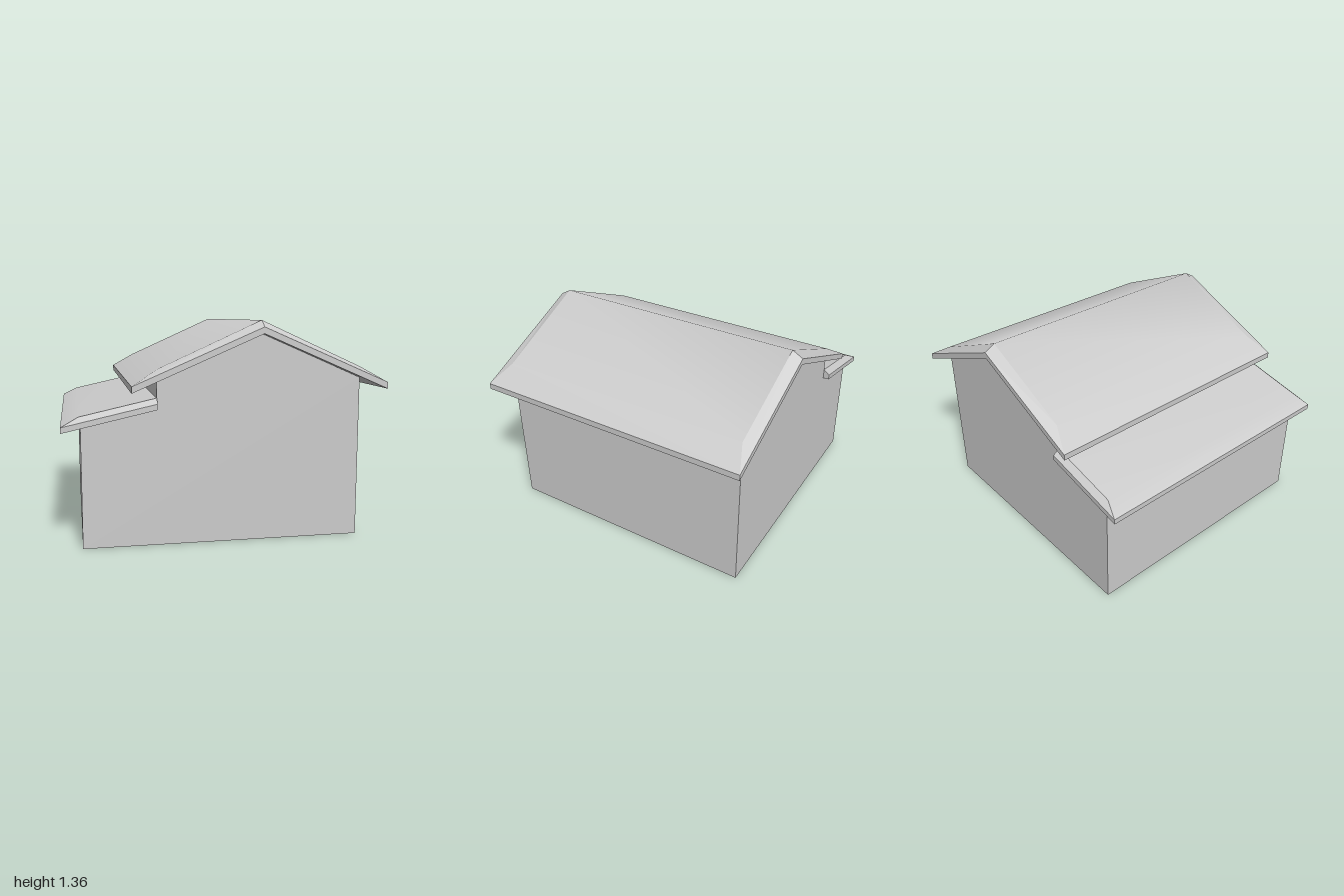
import * as THREE from 'three';

const material = new THREE.MeshStandardMaterial({ color: 0xcccccc, side: THREE.DoubleSide });

function addMesh(parent, name, geometry) {
  const mesh = new THREE.Mesh(geometry, material);
  mesh.name = name;
  parent.add(mesh);
}

// Flat-shaded quads, each given by four corners counter-clockwise from outside.
function quadGeometry(quads) {
  const positions = quads.flatMap(([a, b, c, d]) => [a, b, c, a, c, d].flat());
  const geometry = new THREE.BufferGeometry();
  geometry.setAttribute('position', new THREE.Float32BufferAttribute(positions, 3));
  geometry.computeVertexNormals();
  return geometry;
}

// Smooth surface swept along z; each column is [x, y, half depth], from -x to +x.
function smoothSlope(columns) {
  const positions = columns.flatMap(([x, y, z]) => [x, y, z, x, y, -z]);
  const index = [];
  for (let i = 0; i < columns.length - 1; i++) {
    const a = 2 * i;
    index.push(a, a + 2, a + 3, a, a + 3, a + 1);
  }
  const geometry = new THREE.BufferGeometry();
  geometry.setAttribute('position', new THREE.Float32BufferAttribute(positions, 3));
  geometry.setIndex(index);
  geometry.computeVertexNormals();
  return geometry;
}

// Roof slab with a bevelled rim: under = soffit, rim = outer edge, top = raised surface.
function createRoof(name, under, rim, top, outerZ, innerZ) {
  const roof = new THREE.Group();
  roof.name = name;
  const last = rim.length - 1;
  const at = (list, i, z) => [list[i][0], list[i][1], z];

  const columns = top.map(([x, y]) => [x, y, innerZ]);
  columns.unshift([...rim[0], outerZ]);
  if (rim[last][0] > top[last][0]) columns.push([...rim[last], outerZ]);
  addMesh(roof, name + 'Slope', smoothSlope(columns));

  const quads = [];
  for (let i = 0; i < last; i++) {
    const j = i + 1;
    // rake boards and rake bevels, front and back
    quads.push([at(under, i, outerZ), at(under, j, outerZ), at(rim, j, outerZ), at(rim, i, outerZ)]);
    quads.push([at(rim, i, outerZ), at(rim, j, outerZ), at(top, j, innerZ), at(top, i, innerZ)]);
    quads.push([at(under, j, -outerZ), at(under, i, -outerZ), at(rim, i, -outerZ), at(rim, j, -outerZ)]);
    quads.push([at(rim, j, -outerZ), at(rim, i, -outerZ), at(top, i, -innerZ), at(top, j, -innerZ)]);
    // soffit
    quads.push([at(under, i, -outerZ), at(under, j, -outerZ), at(under, j, outerZ), at(under, i, outerZ)]);
  }
  // fascia boards at both ends
  quads.push([at(under, 0, -outerZ), at(under, 0, outerZ), at(rim, 0, outerZ), at(rim, 0, -outerZ)]);
  quads.push([at(under, last, outerZ), at(under, last, -outerZ), at(rim, last, -outerZ), at(rim, last, outerZ)]);
  // upright end where the slope stops against a wall
  if (rim[last][0] === top[last][0]) {
    quads.push([at(rim, last, outerZ), at(rim, last, -outerZ), at(top, last, -innerZ), at(top, last, innerZ)]);
  }
  addMesh(roof, name + 'Edges', quadGeometry(quads));
  return roof;
}

// Thin walls, open at the bottom and under the roofs.
function createWalls() {
  const walls = new THREE.Group();
  walls.name = 'walls';
  const depth = 0.857;
  const profile = [
    [-0.885, 0], [0.84, 0], [0.84, 1.005], [0.205, 1.28],
    [-0.435, 1.005], [-0.435, 0.835], [-0.885, 0.735],
  ];
  const shape = new THREE.Shape(profile.map(([x, y]) => new THREE.Vector2(x, y)));
  const front = new THREE.ShapeGeometry(shape);
  addMesh(walls, 'frontWall', front.clone().translate(0, 0, depth));
  // back wall is turned to face outwards, its profile mirrored first
  const mirrored = new THREE.Shape(profile.map(([x, y]) => new THREE.Vector2(-x, y)).reverse());
  addMesh(walls, 'backWall', new THREE.ShapeGeometry(mirrored).rotateY(Math.PI).translate(0, 0, -depth));

  const side = (a, b) => quadGeometry([[
    [...profile[a], depth], [...profile[a], -depth], [...profile[b], -depth], [...profile[b], depth],
  ]]);
  addMesh(walls, 'leftWall', side(1, 2));
  addMesh(walls, 'stepWall', side(4, 5));
  addMesh(walls, 'rightWall', side(6, 0));
  return walls;
}

export function createModel() {
  const house = new THREE.Group();
  house.name = 'house';
  house.add(createWalls());
  house.add(createRoof('mainRoof',
    [[-0.588, 0.938], [0.205, 1.28], [0.998, 0.938]],
    [[-0.588, 0.978], [0.205, 1.32], [0.998, 0.978]],
    [[-0.43, 1.073], [0.205, 1.36], [0.84, 1.073]],
    0.927, 0.857));
  house.add(createRoof('sideRoof',
    [[-1, 0.71], [-0.433, 0.835]],
    [[-1, 0.745], [-0.433, 0.87]],
    [[-0.895, 0.8], [-0.433, 0.902]],
    0.897, 0.857));
  return house;
}
